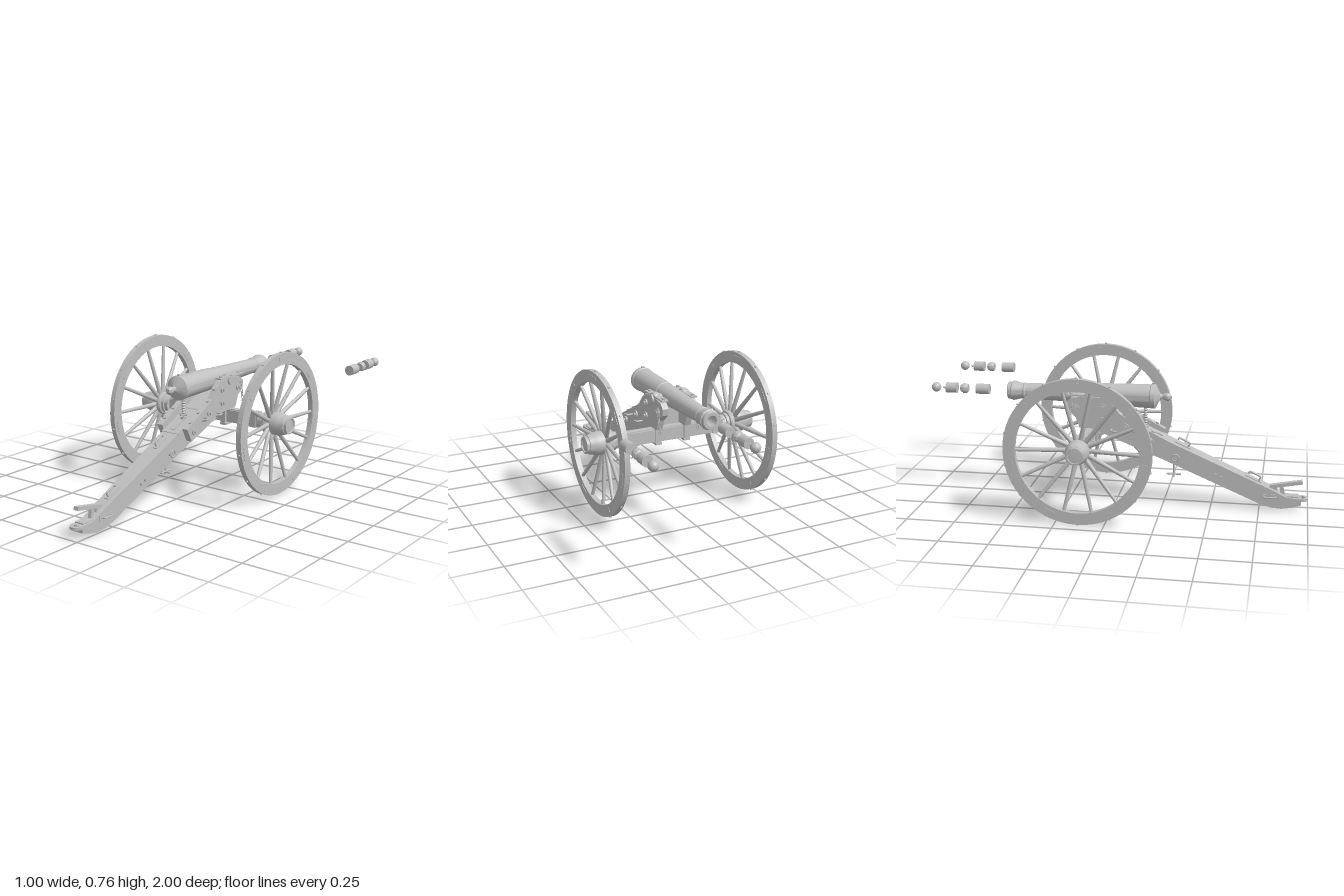
import * as THREE from 'three';
import { toCreasedNormals } from 'three/addons/utils/BufferGeometryUtils.js';

const CX = -0.03;      // centre line of the gun
const AXLE_Y = 0.379, AXLE_Z = -0.13, BORE_Y = 0.573;
const SLOPE = 0.414;   // fall of the trail

export function createModel() {
  const grey = new THREE.MeshStandardMaterial({ color: 0xbfbfbf });
  grey.name = 'plain grey';
  const model = new THREE.Group();
  const gun = group(model, 'gun', CX, 0, 0);

  function group(parent, name, x, y, z) {
    const g = new THREE.Group();
    g.name = name;
    g.position.set(x, y, z);
    parent.add(g);
    return g;
  }
  function add(parent, name, geo, x = 0, y = 0, z = 0) {
    const m = new THREE.Mesh(geo, grey);
    m.name = name;
    m.position.set(x, y, z);
    parent.add(m);
    return m;
  }
  const box = (p, n, w, h, d, x, y, z) => add(p, n, new THREE.BoxGeometry(w, h, d), x, y, z);
  const lathe = (pts, seg = 32) => toCreasedNormals(
    new THREE.LatheGeometry(pts.map(([r, y]) => new THREE.Vector2(r, y)), seg), 0.6);
  // cylinder lying along x
  const rodX = (p, n, r, len, x, y, z, seg = 16) =>
    add(p, n, new THREE.CylinderGeometry(r, r, len, seg).rotateZ(Math.PI / 2), x, y, z);
  // side profile given as [z, y], extruded across x and centred
  function slab(pts, width) {
    const s = new THREE.Shape(pts.map(([z, y]) => new THREE.Vector2(z, y)));
    return new THREE.ExtrudeGeometry(s, { depth: width, bevelEnabled: false })
      .translate(0, 0, -width / 2).rotateY(-Math.PI / 2);
  }
  const tube = (pts, r) => new THREE.TubeGeometry(
    new THREE.CatmullRomCurve3(pts.map(p => new THREE.Vector3(...p)), false, 'catmullrom', 0.1), 16, r, 6);

  // Barrel with cascabel knob, breech ring, muzzle swell and open bore
  const barrel = lathe([
    [0, -0.283], [0.012, -0.28], [0.02, -0.27], [0.021, -0.26], [0.017, -0.248], [0.012, -0.238],
    [0.015, -0.226], [0.035, -0.215], [0.052, -0.207], [0.064, -0.2], [0.065, -0.18], [0.061, -0.176],
    [0.059, 0.0], [0.056, 0.08], [0.053, 0.083], [0.04, 0.48], [0.044, 0.484], [0.044, 0.49],
    [0.041, 0.494], [0.043, 0.515], [0.05, 0.54], [0.051, 0.553], [0.046, 0.557], [0.046, 0.573],
    [0.043, 0.577], [0.027, 0.577], [0.027, 0.3], [0, 0.3]], 40).rotateX(-Math.PI / 2);
  add(gun, 'barrel', barrel, 0, BORE_Y, 0);
  rodX(gun, 'trunnions', 0.024, 0.214, 0, 0.568, AXLE_Z, 24);
  box(gun, 'rearSight', 0.014, 0.012, 0.012, 0, 0.638, 0.188);

  // Trail beam, narrowing toward the rear
  const trailGeo = slab([
    [-0.12, 0.522], [-0.12, 0.4], [0.249, 0.25], [0.75, 0.034], [0.81, 0.015], [0.865, 0.011],
    [0.92, 0.02], [0.965, 0.035], [0.965, 0.066], [0.89, 0.073], [0.811, 0.112]], 1);
  const tp = trailGeo.attributes.position;
  for (let i = 0; i < tp.count; i++) tp.setX(i, tp.getX(i) * (0.115 - 0.043 * (tp.getZ(i) + 0.12)));
  trailGeo.computeVertexNormals();
  add(gun, 'trail', trailGeo);

  // Towing eye
  const eye = new THREE.Shape().absarc(0, 0, 0.034, 0, Math.PI * 2);
  eye.holes.push(new THREE.Path().absarc(0, 0, 0.017, 0, Math.PI * 2, true));
  add(gun, 'towingEye', new THREE.ExtrudeGeometry(eye, { depth: 0.014, bevelEnabled: false, curveSegments: 16 })
    .rotateX(-Math.PI / 2), 0, 0.054, 0.966);
  box(gun, 'towingPlate', 0.05, 0.006, 0.13, 0, 0.074, 0.885);

  // Aiming lever on its post
  const lever = group(gun, 'aimingLever', 0, 0.13, 0.885);
  lever.rotation.x = -0.19;
  box(lever, 'leverBar', 0.028, 0.018, 0.17, 0, 0.005, 0);
  box(lever, 'leverPost', 0.018, 0.06, 0.02, 0, -0.03, -0.025);
  box(lever, 'leverFoot', 0.022, 0.035, 0.022, 0, -0.015, -0.06);

  // Staple handles and plates on the sloping top of the trail
  const trailTop = z => 0.359 - (z - 0.249) * 0.4395;
  for (const z of [0.345, 0.715]) {
    const h = group(gun, 'trailHandle', 0, trailTop(z), z);
    h.rotation.x = SLOPE;
    box(h, 'handlePlate', 0.024, 0.006, 0.09, 0, 0.002, 0);
    add(h, 'handleLoop', tube([[0, 0, 0.03], [0, 0.028, 0.03], [0, 0.03, -0.03], [0, 0.018, -0.034]], 0.005));
  }
  const strap = group(gun, 'trailStrap', 0, trailTop(0.25), 0.25);
  strap.rotation.x = SLOPE;
  box(strap, 'strapPlate', 0.105, 0.005, 0.03, 0, 0.001, 0);
  box(strap, 'strapTongue', 0.024, 0.008, 0.1, 0, 0.003, -0.06);

  // Side loops near the trail end
  for (const s of [-1, 1]) {
    add(gun, 'trailSideLoop', tube([[s * 0.034, 0.075, 0.77], [s * 0.055, 0.075, 0.775],
      [s * 0.057, 0.075, 0.83], [s * 0.034, 0.075, 0.835]], 0.005));
    box(gun, 'trailSidePlate', 0.006, 0.03, 0.1, s * 0.038, 0.072, 0.8);
    for (const z of [0.31, 0.33, 0.52, 0.55])
      rodX(gun, 'trailBolt', 0.008, 0.014, s * (0.052 - (z - 0.25) * 0.0215), trailTop(z) - 0.06, z, 8);
    const ring = add(gun, 'trailRing', new THREE.TorusGeometry(0.018, 0.004, 6, 16), s * 0.06, 0.265, 0.315);
    ring.rotation.y = Math.PI / 2;
  }

  // Hanging pin under the trail
  add(gun, 'hangingRod', new THREE.CylinderGeometry(0.005, 0.005, 0.1, 8), 0, 0.195, 0.302);
  rodX(gun, 'hangingCross', 0.005, 0.06, 0, 0.155, 0.302, 8);
  add(gun, 'hangingBar', new THREE.CylinderGeometry(0.005, 0.005, 0.075, 8).rotateX(Math.PI / 2), 0, 0.158, 0.302);

  // Elevating screw under the breech
  const thread = [[0.016, 0], [0.016, 0.02]];
  for (let i = 0; i < 8; i++) thread.push([0.007, 0.022 + i * 0.013], [0.011, 0.028 + i * 0.013]);
  add(gun, 'elevatingScrew', lathe(thread, 16), 0, 0.395, 0.15);
  for (let i = 0; i < 2; i++)
    box(gun, 'screwHandle', i ? 0.05 : 0.007, 0.006, i ? 0.007 : 0.05, 0, 0.425, 0.15);

  // Cheeks either side of the trail, with bolts, caps and fittings
  const cheekGeo = slab([
    [0.21, 0.31], [0.245, 0.38], [0.03, 0.495], [-0.01, 0.545], [-0.05, 0.575], [-0.1, 0.58],
    [-0.17, 0.58], [-0.225, 0.57], [-0.25, 0.545], [-0.245, 0.51], [-0.2, 0.47], [-0.18, 0.415],
    [-0.07, 0.41], [0.05, 0.37]], 0.033);
  for (const s of [-1, 1]) {
    const cheek = group(gun, 'cheek', s * 0.081, 0, 0);
    add(cheek, 'cheekBoard', cheekGeo);
    box(cheek, 'trunnionCap', 0.036, 0.008, 0.2, 0, 0.586, -0.145);
    add(cheek, 'trunnionStrap', new THREE.TorusGeometry(0.027, 0.006, 8, 20, Math.PI)
      .rotateY(Math.PI / 2).scale(3, 1, 1), 0, 0.57, AXLE_Z);
    for (const z of [-0.225, -0.065])
      add(cheek, 'capBolt', new THREE.CylinderGeometry(0.009, 0.009, 0.016, 6), 0, 0.59, z);
    for (const [z, y] of [[0.2, 0.405], [0.13, 0.442], [0.05, 0.485], [-0.005, 0.54]]) {
      const b = add(cheek, 'cheekBolt', new THREE.CylinderGeometry(0.009, 0.009, 0.014, 8), 0, y, z);
      b.rotation.x = 0.5;
    }
    for (const [z, y] of [[0.19, 0.36], [0.06, 0.43], [-0.06, 0.46], [-0.06, 0.53], [-0.2, 0.52]]) {
      rodX(cheek, 'washer', 0.018, 0.008, s * 0.02, y, z);
      rodX(cheek, 'sideBolt', 0.009, 0.018, s * 0.024, y, z, 6);
    }
    // side hooks
    for (const z of [0.0, 0.12])
      add(cheek, 'sideHook', tube([[s * 0.015, 0.415, z - 0.012], [s * 0.048, 0.415, z - 0.012],
        [s * 0.052, 0.412, z + 0.014], [s * 0.03, 0.405, z + 0.014]], 0.005));
    // axle clamps
    box(cheek, 'axleClamp', 0.036, 0.012, 0.09, 0, 0.338, AXLE_Z);
    for (const dz of [-0.037, 0.037])
      box(cheek, 'axleClampLeg', 0.03, 0.085, 0.012, 0, 0.377, AXLE_Z + dz);
    // hanging chain
    for (let i = 0; i < 7; i++) {
      const link = add(cheek, 'chainLink', new THREE.TorusGeometry(0.009, 0.0028, 5, 10).scale(0.7, 1.2, 1),
        s * 0.026, 0.535 - i * 0.019, -0.215 - i * 0.004);
      link.rotation.y = i % 2 ? Math.PI / 2 : 0;
    }
  }
  for (const [z, y] of [[0.19, 0.36], [0.06, 0.43], [-0.06, 0.46]])
    rodX(gun, 'cheekSpacer', 0.016, 0.16, 0, y, z);

  // Axle with top band and collars
  box(gun, 'axle', 0.62, 0.066, 0.054, 0, 0.378, AXLE_Z - 0.006);
  box(gun, 'axleBand', 0.62, 0.005, 0.035, 0, 0.4125, AXLE_Z - 0.006);
  for (const s of [-1, 1]) box(gun, 'axleCollar', 0.037, 0.076, 0.064, s * 0.257, 0.38, AXLE_Z - 0.006);

  // Wheels: local +x points outward
  const rimGeo = lathe([[0.312, -0.014], [0.372, -0.014], [0.372, 0.014], [0.312, 0.014], [0.312, -0.014]], 56)
    .rotateZ(-Math.PI / 2);
  const hubGeo = lathe([
    [0, -0.112], [0.043, -0.112], [0.043, -0.09], [0.05, -0.088], [0.05, -0.073], [0.059, -0.071],
    [0.063, -0.062], [0.06, -0.048], [0.052, -0.044], [0.052, -0.03], [0.059, -0.026], [0.06, 0.004],
    [0.056, 0.022], [0.048, 0.05], [0.044, 0.052], [0.044, 0.067], [0.036, 0.068], [0.034, 0.062], [0, 0.062]])
    .rotateZ(-Math.PI / 2);
  // spoke leaning from the hub out to the rim
  const from = new THREE.Vector3(-0.04, 0.045, 0), to = new THREE.Vector3(0, 0.32, 0);
  const dir = to.clone().sub(from);
  const spokeGeo = new THREE.CylinderGeometry(0.0085, 0.0125, dir.length(), 10)
    .applyQuaternion(new THREE.Quaternion().setFromUnitVectors(new THREE.Vector3(0, 1, 0), dir.clone().normalize()))
    .translate((from.x + to.x) / 2, (from.y + to.y) / 2, 0);
  for (const s of [-1, 1]) {
    const wheel = group(gun, 'wheel', s * 0.406, AXLE_Y, AXLE_Z);
    if (s < 0) wheel.rotation.y = Math.PI;
    add(wheel, 'rim', rimGeo);
    add(wheel, 'hub', hubGeo);
    for (let i = 0; i < 14; i++) {
      const a = (i + 0.5) * Math.PI / 7;
      add(wheel, 'spoke', spokeGeo).rotation.x = a;
      // tyre bolts, and joint plates at every second one
      const f = group(wheel, 'rimFitting', 0, 0, 0);
      f.rotation.x = a + Math.PI / 14;
      add(f, 'tyreBolt', new THREE.CylinderGeometry(0.006, 0.006, 0.01, 8), 0, 0.373, 0);
      if (i % 2) for (const d of [-1, 1]) box(f, 'jointPlate', 0.003, 0.022, 0.07, d * 0.0145, 0.341, 0);
    }
  }

  // Two sets of ammunition laid out ahead of the muzzle
  const canister = new THREE.CylinderGeometry(0.027, 0.027, 0.069, 24).rotateX(Math.PI / 2);
  const shellCase = new THREE.CylinderGeometry(0.027, 0.027, 0.058, 24).rotateX(Math.PI / 2);
  const sabot = lathe([[0, -0.022], [0.02, -0.022], [0.025, -0.014], [0.026, 0.004], [0.023, 0.005],
    [0.021, 0.013], [0.014, 0.019], [0, 0.022]], 24).rotateX(-Math.PI / 2);
  for (const x of [0, 0.502]) {
    const set = group(gun, 'ammunition', x, BORE_Y, 0);
    add(set, 'canister', canister, 0, 0, -0.718);
    add(set, 'sabot', sabot, 0, 0, -0.821);
    add(set, 'shellCase', shellCase, 0, 0, -0.889);
    add(set, 'fuse', new THREE.SphereGeometry(0.006, 12, 8), 0, 0, -0.932);
    add(set, 'roundShot', new THREE.SphereGeometry(0.025, 24, 16), 0, 0, -0.975);
  }
  return model;
}
